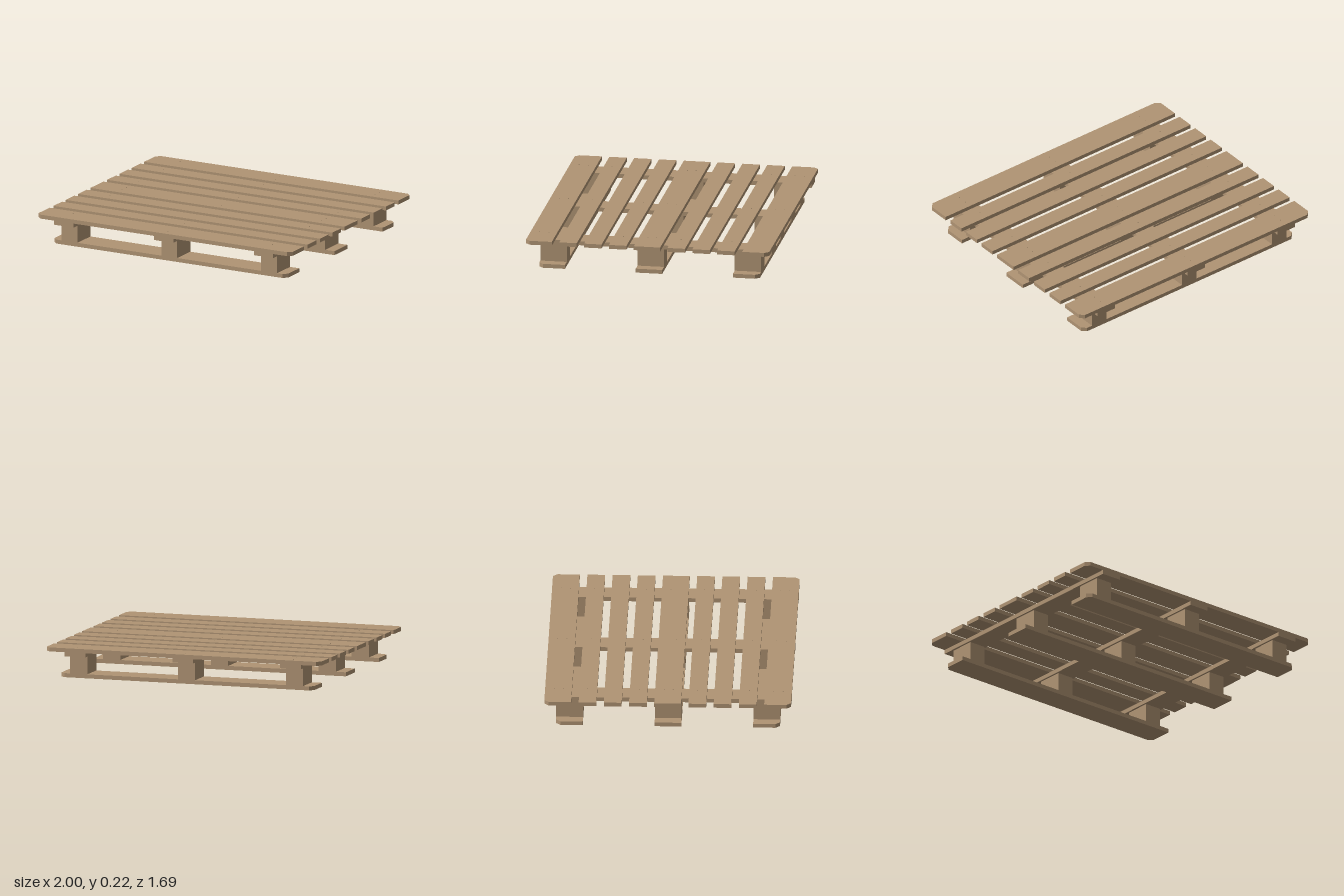
import * as THREE from 'three';

export function createModel() {
  const pallet = new THREE.Group();
  pallet.name = 'pallet';
  const wood = new THREE.MeshStandardMaterial({ color: 0xb09474 });
  wood.name = 'wood';
  const nailWood = new THREE.MeshStandardMaterial({ color: 0x8f785c });
  nailWood.name = 'nail head';

  const box = (name, w, y0, y1, d, x, z) => {
    const mesh = new THREE.Mesh(new THREE.BoxGeometry(w, y1 - y0, d), wood);
    mesh.name = name;
    mesh.position.set(x, (y0 + y1) / 2, z);
    pallet.add(mesh);
  };

  // Board whose two corners on the outer side (side = +1 or -1 in z) are cut off
  const cutBoard = (name, w, y0, y1, d, z, side, cut = 0.03) => {
    const a = w / 2, b = d / 2;
    const outline = [[-a, -b], [a, -b], [a, b - cut], [a - cut, b], [cut - a, b], [-a, b - cut]];
    const shape = new THREE.Shape(outline.map(([x, v]) => new THREE.Vector2(x, v)));
    const geo = new THREE.ExtrudeGeometry(shape, { depth: y1 - y0, bevelEnabled: false });
    geo.rotateX(Math.PI / 2); // outline y becomes z, extrusion runs downwards
    if (side < 0) geo.rotateY(Math.PI);
    const mesh = new THREE.Mesh(geo, wood);
    mesh.name = name;
    mesh.position.set(0, y1, z);
    pallet.add(mesh);
  };

  const rowsX = [-0.785, 0, 0.785];
  const bottomY = 0.028, blockY = 0.157, stringerY = 0.186, topY = 0.214;

  // Deck: wide boards at the centre and the edges, narrow ones between
  box('wideDeckBoard', 2, stringerY, topY, 0.184, 0, 0);
  for (const side of [-1, 1]) {
    cutBoard('edgeDeckBoard', 2, stringerY, topY, 0.184, side * 0.755, side);
    for (const z of [0.204, 0.377, 0.55]) box('narrowDeckBoard', 2, stringerY, topY, 0.122, 0, side * z);
  }

  // Stringers under the deck, with three blocks beneath each
  for (const x of rowsX) {
    box('stringer', 0.152, blockY, stringerY, 1.694, x, 0);
    for (const z of [-0.677, 0, 0.677]) box('block', 0.125, bottomY, blockY, 0.184, x, z);
  }

  // Bottom boards
  box('middleBottomBoard', 1.84, 0, bottomY, 0.184, 0, 0);
  for (const side of [-1, 1]) cutBoard('outerBottomBoard', 1.84, 0, bottomY, 0.184, side * 0.677, side);

  // Small nail heads on the deck
  const nailGeo = new THREE.CylinderGeometry(0.003, 0.003, 0.002, 8);
  for (const x of rowsX) {
    for (const z of [0.03, 0.2, 0.555, 0.72, 0.785]) {
      for (const side of [-1, 1]) {
        const nail = new THREE.Mesh(nailGeo, nailWood);
        nail.name = 'nailHead';
        nail.position.set(x, topY, side * z);
        pallet.add(nail);
      }
    }
  }
  return pallet;
}
